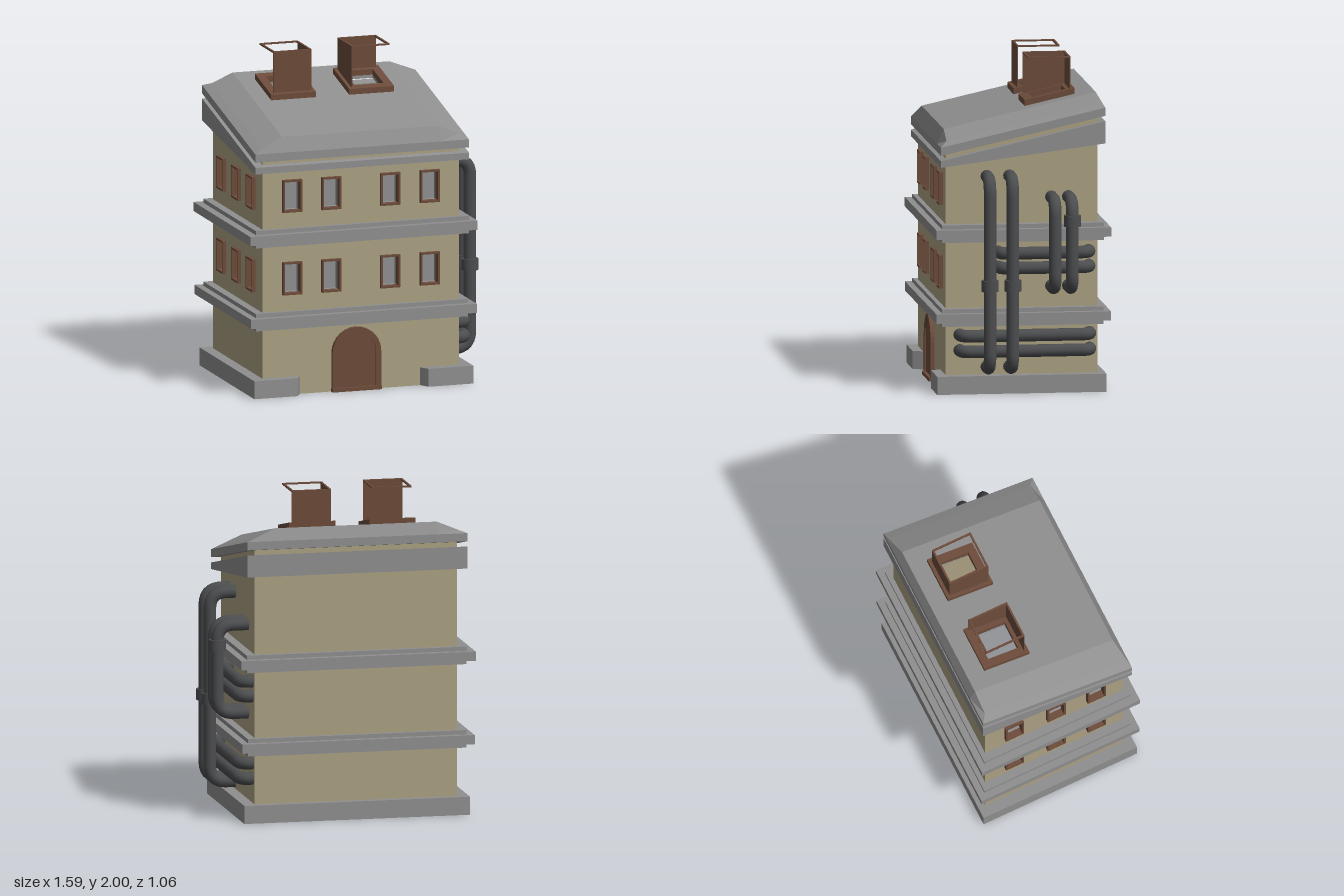
import * as THREE from 'three';

const material = (name, color) => {
  const m = new THREE.MeshStandardMaterial({ color });
  m.name = name;
  return m;
};

// A list of [x, y] points as a closed path
const poly = (pts, Type = THREE.Shape) => new Type(pts.map(p => new THREE.Vector2(...p)));
const rect = (x0, x1, y0, y1) => [[x0, y0], [x1, y0], [x1, y1], [x0, y1]];

// Extruded plate with holes, from depth z0 to z1
function plate(outline, holes, z0, z1) {
  const shape = poly(outline);
  shape.holes = holes.map(h => poly(h, THREE.Path));
  return new THREE.ExtrudeGeometry(shape, { depth: z1 - z0, bevelEnabled: false }).translate(0, 0, z0);
}

// Horizontal slab from an [x, z] outline; its bottom and top heights may vary with z
function slab(outline, holes, lo, hi) {
  const f = h => (typeof h === 'function' ? h : () => h);
  const flip = pts => pts.map(([x, z]) => [x, -z]).reverse();
  const geo = plate(flip(outline), holes.map(flip), 0, 1).rotateX(-Math.PI / 2);
  const p = geo.attributes.position;
  for (let i = 0; i < p.count; i++) {
    const z = p.getZ(i), b = f(lo)(z), t = f(hi)(z);
    p.setY(i, b + (t - b) * p.getY(i));
  }
  geo.computeVertexNormals();
  return geo;
}

// Flat-shaded surface from four-cornered faces
function quads(list) {
  const v = [];
  for (const [a, b, c, d] of list) v.push(...a, ...b, ...c, ...a, ...c, ...d);
  const geo = new THREE.BufferGeometry();
  geo.setAttribute('position', new THREE.Float32BufferAttribute(v, 3));
  geo.computeVertexNormals();
  return geo;
}

function loft(rings) {
  const list = [];
  for (let r = 0; r + 1 < rings.length; r++) {
    rings[r].forEach((a, i) => {
      const j = (i + 1) % rings[r].length;
      list.push([a, rings[r][j], rings[r + 1][j], rings[r + 1][i]]);
    });
  }
  return quads(list);
}

// Round pipe along corner points with rounded bends
function pipe(corners, radius, bend) {
  const p = corners.map(c => new THREE.Vector3(...c));
  const path = new THREE.CurvePath();
  let from = p[0];
  for (let i = 1; i < p.length - 1; i++) {
    const a = p[i].clone().add(p[i - 1].clone().sub(p[i]).setLength(bend));
    const b = p[i].clone().add(p[i + 1].clone().sub(p[i]).setLength(bend));
    path.add(new THREE.LineCurve3(from, a));
    path.add(new THREE.QuadraticBezierCurve3(a, p[i], b));
    from = b;
  }
  path.add(new THREE.LineCurve3(from, p[p.length - 1]));
  return new THREE.TubeGeometry(path, 64, radius, 14);
}

// Arch outline with a straight foot at y0
function arch(cx, halfWidth, spring, y0 = 0) {
  const pts = [[cx - halfWidth, y0], [cx + halfWidth, y0]];
  for (let i = 0; i <= 14; i++) {
    const a = Math.PI * i / 14;
    pts.push([cx + halfWidth * Math.cos(a), spring + halfWidth * Math.sin(a)]);
  }
  return pts;
}

export function createModel() {
  const house = new THREE.Group();
  house.name = 'house';
  const plaster = material('tan plaster', 0xaca183);
  const stone = material('grey stone', 0x8f8f8f);
  const wood = material('brown wood', 0x6d4c3b);
  const iron = material('dark iron', 0x4c4d4f);
  const add = (name, geo, mat, parent = house) => {
    const mesh = new THREE.Mesh(geo, mat);
    mesh.name = name;
    parent.add(mesh);
  };

  const X0 = -0.70, X1 = 0.553, Z0 = -0.46, Z1 = 0.465;
  const roofAt = offset => z => 1.565 - 0.225 * z + offset;
  const wallTop = roofAt(0.01);
  const inside = rect(X0 + 0.02, X1 - 0.02, Z0 + 0.02, Z1 - 0.02);

  // Walls: each side is a group whose local z points outwards
  const side = (name, x, z, turn) => {
    const g = new THREE.Group();
    g.name = name;
    g.position.set(x, 0, z);
    g.rotation.y = turn;
    house.add(g);
    return g;
  };
  const front = side('frontSide', 0, Z1, 0);
  const back = side('backSide', 0, Z0, Math.PI);
  const right = side('pipeSide', X1, 0, Math.PI / 2);
  const left = side('windowSide', X0, 0, -Math.PI / 2);

  const rows = [[0.618, 0.82], [1.127, 1.327]];
  const windowRects = centres => rows.flatMap(([y0, y1]) => centres.map(c => [c - 0.061, c + 0.061, y0, y1]));
  const frontWindows = windowRects([-0.513, -0.264, 0.111, 0.363]);
  const leftWindows = windowRects([-0.27, 0.01, 0.28]);
  const gable = [[Z0, 0], [Z1, 0], [Z1, wallTop(Z1)], [Z0, wallTop(Z0)]];
  const holesOf = list => list.map(r => rect(...r));
  add('frontWall', plate(rect(X0, X1, 0, wallTop(Z1)), holesOf(frontWindows), -0.02, 0), plaster, front);
  add('backWall', plate(rect(-X1, -X0, 0, wallTop(Z0)), [], -0.02, 0), plaster, back);
  add('windowWall', plate(gable, holesOf(leftWindows), -0.02, 0), plaster, left);
  add('pipeWall', plate(gable.map(([z, y]) => [-z, y]), [], -0.02, 0), plaster, right);

  // Windows: raised wooden frame, deep lining and pane
  const addWindows = (list, parent) => list.forEach(([a, b, c, d]) => {
    const grow = t => rect(a - t, b + t, c - t, d + t);
    add('windowFrame', plate(grow(0), [grow(-0.012)], -0.02, 0.023), wood, parent);
    add('windowLining', plate(grow(0), [grow(-0.008)], -0.07, -0.015), stone, parent);
    add('windowPane', plate(grow(-0.004), [], -0.072, -0.066), stone, parent);
  });
  addWindows(frontWindows, front);
  addWindows(leftWindows, left);

  // Arched door
  add('doorFrame', plate(arch(-0.105, 0.155, 0.237), [arch(-0.105, 0.122, 0.235, 0.022)], -0.024, 0.024), wood, front);
  add('door', plate(arch(-0.105, 0.14, 0.235), [], 0, 0.014), wood, front);
  add('doorSill', plate(rect(-0.262, 0.052, 0, 0.022), [], 0, 0.034), wood, front);

  // Plinth, open in front of the door
  add('plinth', slab([
    [-0.455, 0.455], [-0.495, 0.525], [-0.77, 0.525], [-0.77, -0.505], [0.625, -0.505], [0.625, 0.525],
    [0.34, 0.525], [0.30, 0.455], [0.535, 0.45], [0.535, -0.445], [-0.685, -0.445], [-0.685, 0.45],
  ], [], 0, 0.11), stone);

  // Stepped bands between the floors
  for (const [y, grow] of [[0.463, 0], [0.975, 0.006]]) {
    add('bandCore', slab(rect(-0.75, 0.601 + grow, -0.49, 0.493), [inside], y - 0.053, y + 0.054), stone);
    add('bandEdge', slab(rect(-0.793 - grow, 0.644 + grow, -0.53, 0.532), [inside], y - 0.027, y + 0.029), stone);
  }

  // Sloping cornice under the roof
  add('cornice', slab(rect(-0.755, 0.605, -0.5, 0.5), [inside], z => 1.445 - 0.13 * z, z => 1.533 - 0.225 * z), stone);

  // Roof: eaves rising over a bevel to a sloping top, pierced by the chimneys
  const chimneys = [[-0.447, -0.204], [0.05, 0.294]];
  const CZ0 = -0.33, CZ1 = -0.07;
  const flues = chimneys.map(([a, b]) => rect(a + 0.03, b - 0.03, CZ0 + 0.03, CZ1 - 0.03));
  const roofRing = (xs, z0, z1, offsets) => {
    const row = z => xs.map((x, i) => [x, roofAt(offsets[i])(z), z]);
    return [...row(z1), ...row(z0).reverse()];
  };
  const wide = [-0.755, -0.572, 0.427, 0.605], narrow = [-0.705, -0.572, 0.427, 0.555];
  const top = roofRing(narrow, -0.465, 0.46, [0.074, 0.13, 0.13, 0.074]);
  add('roofEdge', loft([
    roofRing(wide, -0.5, 0.5, [0, 0, 0, 0]),
    roofRing(wide, -0.5, 0.5, [0.05, 0.05, 0.05, 0.05]),
    top,
  ]), stone);
  add('roofSlopes', quads([[top[0], top[1], top[6], top[7]], [top[2], top[3], top[4], top[5]]]), stone);
  add('roofTop', slab(rect(-0.572, 0.427, -0.465, 0.46), flues, roofAt(0.11), roofAt(0.13)), stone);
  add('roofSoffit', slab(rect(-0.755, 0.605, -0.5, 0.5), [inside], roofAt(0), roofAt(0.015)), stone);

  // Chimneys: sloping collar and thin rim
  chimneys.forEach(([a, b], i) => {
    add('chimneyCollar', slab(rect(a - 0.021, b + 0.021, CZ0 - 0.022, CZ1 + 0.022), [flues[i]], roofAt(0.12), roofAt(0.165)), wood);
    add('chimneyRim', slab(rect(a, b, CZ0, CZ1), [rect(a + 0.012, b - 0.012, CZ0 + 0.012, CZ1 - 0.012)], 1.99, 2), wood);
  });

  // Broken chimney shafts: one keeps its front and an inner lining, the other its back and one side
  const T = 0.006;
  const [[a0, b0], [a1, b1]] = chimneys;
  const base = roofAt(0.12);
  const shaftWall = (name, ...r) => add(name, slab(rect(...r), [], base, 2), wood);
  shaftWall('chimneyFrontWall', a0, b0, CZ1 - T, CZ1);
  add('chimneyLining', quads([[[b0, base(CZ0), CZ0], [b0, base(CZ1), CZ1], [b0, 2, CZ1], [b0, 2, CZ0]]]), wood);
  shaftWall('chimneyBackWall', a1, b1, CZ0, CZ0 + T);
  shaftWall('chimneySideWall', a1, a1 + T, CZ0, CZ1);

  // Upright pipes with couplings: z, outer x, bottom, top, coupling height
  const uprights = [
    [0.215, 0.708, 0.157, 1.318, 0.67], [0.077, 0.708, 0.157, 1.318, 0.67],
    [-0.178, 0.738, 0.643, 1.185, null], [-0.281, 0.743, 0.643, 1.185, 1.063],
  ];
  for (const [z, x, y0, y1, joint] of uprights) {
    add('uprightPipe', pipe([[0.54, y1, z], [x, y1, z], [x, y0, z], [0.54, y0, z]], 0.038, 0.1), iron);
    if (joint) add('pipeCoupling', new THREE.CylinderGeometry(0.052, 0.052, 0.068, 20).translate(x, joint, z), iron);
  }

  // Level pipes along the wall
  for (const [y, z0, z1] of [[0.855, -0.405, 0.145], [0.765, -0.405, 0.145], [0.355, -0.41, 0.38], [0.26, -0.41, 0.38]]) {
    add('levelPipe', pipe([[0.54, y, z1], [0.63, y, z1], [0.63, y, z0], [0.54, y, z0]], 0.038, 0.06), iron);
  }

  return house;
}
